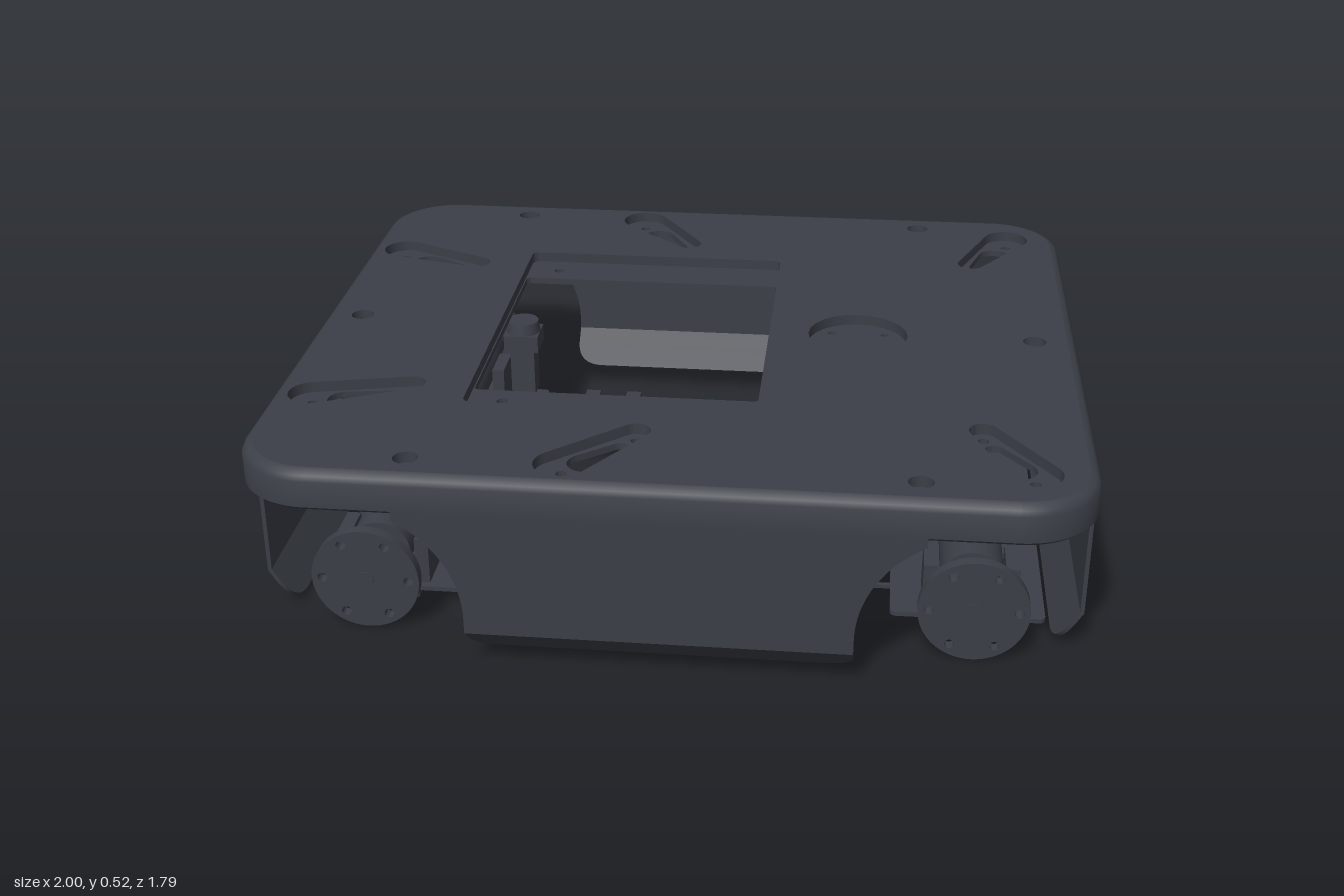
import * as THREE from 'three';
import { toCreasedNormals } from 'three/addons/utils/BufferGeometryUtils.js';

const dark = new THREE.MeshStandardMaterial({ color: 0x3b3f47, side: THREE.DoubleSide });

function add(parent, name, geo, x = 0, y = 0, z = 0) {
  const m = new THREE.Mesh(geo, dark);
  m.name = name;
  m.position.set(x, y, z);
  parent.add(m);
  return m;
}
const box = (w, h, d) => new THREE.BoxGeometry(w, h, d);
const cylZ = (r, len, n = 40) => new THREE.CylinderGeometry(r, r, len, n).rotateX(Math.PI / 2);

// Outlines are drawn in plan as (x, -z)
function roundRect(w, d, r, cx = 0, cy = 0) {
  const s = new THREE.Shape(), q = Math.PI / 2;
  [[1, 1], [-1, 1], [-1, -1], [1, -1]].forEach(([a, b], i) =>
    s.absarc(cx + a * (w - r), cy + b * (d - r), r, i * q, (i + 1) * q));
  return s.closePath();
}
const circle = (x, y, r) => new THREE.Shape().absarc(x, y, r, 0, Math.PI * 2);

// Hull of a large and a small circle
function teardrop([x1, y1, r1], [x2, y2, r2]) {
  const a = Math.atan2(y2 - y1, x2 - x1), b = Math.acos((r1 - r2) / Math.hypot(x2 - x1, y2 - y1));
  return new THREE.Shape().absarc(x1, y1, r1, a + b, a - b + Math.PI * 2)
    .absarc(x2, y2, r2, a - b, a + b).closePath();
}
function slab(shape, holes, y0, y1) {
  shape.holes.push(...holes);
  const g = new THREE.ExtrudeGeometry(shape, { depth: y1 - y0, bevelEnabled: false, curveSegments: 12 });
  return toCreasedNormals(g.rotateX(-Math.PI / 2).translate(0, y0, 0), 0.6);
}

// Rim: a section of [inset, y] points carried around the deck outline
function rimGeometry(section) {
  const rings = section.map(([inset]) => roundRect(1 - inset, 0.893 - inset, 0.19 - inset).getPoints(12));
  const n = rings[0].length, pos = [], idx = [];
  rings.forEach((ring, j) => ring.forEach(p => pos.push(p.x, section[j][1], -p.y)));
  for (let j = 0; j < rings.length - 1; j++) for (let i = 0; i < n; i++) {
    const k = (i + 1) % n, a = j * n + i, b = j * n + k, c = b + n, d = a + n;
    idx.push(a, b, c, a, c, d);
  }
  const g = new THREE.BufferGeometry();
  g.setAttribute('position', new THREE.Float32BufferAttribute(pos, 3));
  g.setIndex(idx);
  g.computeVertexNormals();
  return toCreasedNormals(g, 0.6);
}

function buildDeck() {
  const deck = new THREE.Group();
  deck.name = 'deck';
  // slots: large end, small end (recess), repeated front and back
  const slots = [
    [[-0.23, 0.79, 0.065], [-0.08, 0.61, 0.036]],
    [[0.85, 0.735, 0.062], [0.74, 0.53, 0.036]],
    [[-0.9, 0.485, 0.06], [-0.67, 0.405, 0.036]],
  ];
  const upper = [roundRect(0.36, 0.497, 0.02, -0.163, 0), circle(0.43, 0, 0.13)];
  const lower = [roundRect(0.357, 0.37, 0.012, -0.163, 0)];
  for (const s of [1, -1]) {
    for (const [a, b] of slots) {
      const at = (t, r) => [a[0] + (b[0] - a[0]) * t, s * (a[1] + (b[1] - a[1]) * t), r];
      upper.push(teardrop(at(0, a[2]), at(1, b[2])));
      lower.push(teardrop(at(0.32, 0.044), at(0.78, 0.024)), circle(at(1, 0)[0], at(1, 0)[1], 0.013),
        circle(at(0, 0)[0], at(0, 0)[1], 0.013));
    }
    lower.push(circle(-0.437, s * 0.43, 0.014));
    for (const x of [-0.07, 0.07]) lower.push(circle(0.43 + x, s * 0.065, 0.01));
  }
  const screws = [[-0.59, 0.8], [0.59, 0.8], [-0.59, -0.8], [0.59, -0.8], [-0.9, 0], [0.89, 0]];
  for (const [x, y] of screws) {
    upper.push(circle(x, y, 0.03));
    lower.push(circle(x, y, 0.013));
  }
  add(deck, 'deckTopLayer', slab(roundRect(0.974, 0.867, 0.164), upper, 0.492, 0.52));
  add(deck, 'deckLowerLayer', slab(roundRect(0.974, 0.867, 0.164), lower, 0.475, 0.492));
  add(deck, 'deckRim', rimGeometry([[0.026, 0.477], [0.026, 0.42], [0.008, 0.42], [0, 0.428],
    [0, 0.494], [0.006, 0.507], [0.014, 0.515], [0.026, 0.52]]));
  return deck;
}

// Sheet skirt facing +z: upright panel with a folded-in lower lip
function buildSkirt(name, upright, halfWidth, fold, inward, drop, corner) {
  const g = new THREE.Group();
  g.name = name;
  const opt = { depth: 0.01, bevelEnabled: false, curveSegments: 20 };
  add(g, 'skirtPanel', toCreasedNormals(new THREE.ExtrudeGeometry(upright, opt), 0.5), 0, 0, -0.01);
  const len = Math.hypot(inward, drop), w = halfWidth, lip = new THREE.Shape();
  lip.moveTo(w, 0).lineTo(-w, 0).lineTo(-w, corner - len);
  lip.quadraticCurveTo(-w, -len, corner - w, -len).lineTo(w - corner, -len);
  lip.quadraticCurveTo(w, -len, w, corner - len).closePath();
  const geo = new THREE.ExtrudeGeometry(lip, opt).translate(0, 0, -0.01).rotateX(Math.atan2(inward, drop));
  add(g, 'skirtLip', toCreasedNormals(geo, 0.5), 0, fold, 0);
  return g;
}

function buildWheel() {
  const g = new THREE.Group();
  g.name = 'wheelUnit';
  const disc = circle(0, 0, 0.133);
  for (let i = 0; i < 6; i++) {
    const a = i * Math.PI / 3;
    disc.holes.push(circle(0.107 * Math.cos(a), 0.107 * Math.sin(a), 0.012));
  }
  const geo = new THREE.ExtrudeGeometry(disc, { depth: 0.029, bevelEnabled: false, curveSegments: 32 });
  add(g, 'wheelDisc', toCreasedNormals(geo, 0.5), 0, 0.136, 0.693);
  add(g, 'axleCap', cylZ(0.022, 0.006, 20), 0, 0.136, 0.722);
  add(g, 'hub', cylZ(0.07, 0.093), 0, 0.136, 0.647);
  add(g, 'shaft', cylZ(0.03, 0.04, 20), 0, 0.136, 0.59);
  add(g, 'motor', cylZ(0.078, 0.3), 0, 0.136, 0.43);
  // foot and cheeks holding the motor
  add(g, 'mountFoot', box(0.185, 0.055, 0.2), 0, 0.0325, 0.48);
  for (const s of [-1, 1]) add(g, 'mountCheek', box(0.035, 0.13, 0.12), s * 0.1, 0.095, 0.5);
  return g;
}

// Small hinge bracket with two arms and three screws
function buildBracket() {
  const g = new THREE.Group();
  g.name = 'bracket';
  add(g, 'bracketBody', box(0.25, 0.06, 0.1), 0, 0, 0.24);
  for (const x of [-0.1, 0, 0.1]) {
    add(g, 'bracketLug', box(0.05, 0.05, 0.045), x, 0, 0.308);
    add(g, 'bracketScrew', new THREE.CylinderGeometry(0.011, 0.011, 0.012, 12), x, 0.03, 0.31);
  }
  for (const x of [-0.06, 0.06]) add(g, 'bracketArm', box(0.042, 0.03, 0.15), x, 0, 0.355);
  return g;
}

export function createModel() {
  const model = new THREE.Group();
  model.name = 'mobileBase';
  model.add(buildDeck());

  for (const s of [1, -1]) {
    // front and back skirts with wheel arches
    const arch = new THREE.Shape();
    arch.moveTo(-0.61, 0.43).lineTo(0.61, 0.43).lineTo(0.61, 0.403);
    arch.absarc(0.74, 0.15, 0.285, Math.PI - 1.097, Math.PI, false);
    arch.lineTo(0.455, 0.11).lineTo(-0.455, 0.11).lineTo(-0.455, 0.15);
    arch.absarc(-0.74, 0.15, 0.285, 0, 1.097, false).closePath();
    const end = buildSkirt(s > 0 ? 'frontSkirt' : 'backSkirt', arch, 0.455, 0.11, 0.095, 0.09, 0.08);
    end.position.z = s * 0.893;
    end.rotation.y = s > 0 ? 0 : Math.PI;

    // side skirts
    const panel = new THREE.Shape();
    panel.moveTo(-0.66, 0.11).lineTo(0.66, 0.11).lineTo(0.66, 0.43).lineTo(-0.66, 0.43).closePath();
    if (s < 0) panel.holes.push(circle(0, 0.29, 0.045), circle(0.28, 0.29, 0.025));
    const side = buildSkirt(s > 0 ? 'leftSkirt' : 'rightSkirt', panel, 0.66, 0.11, 0.06, 0.1, 0.09);
    side.position.x = s;
    side.rotation.y = s * Math.PI / 2;
    model.add(end, side);

    // floor plates under the drive units and the thin rods joining them
    const holes = [-0.35, 0, 0.35].map(y => circle(s * 0.7, y, 0.018));
    if (s > 0) holes.push(circle(0.885, 0, 0.022));
    const plate = roundRect(0.19, 0.58, 0.015, s > 0 ? 0.73 : -0.697, 0);
    add(model, 'floorPlate', slab(plate, holes, 0.024, 0.036));
    add(model, 'tieRod', box(1.05, 0.01, 0.012), 0.025, 0.03, s * 0.45);

    for (const x of [-0.735, 0.735]) {
      const wheel = buildWheel();
      wheel.position.x = x;
      wheel.rotation.y = s > 0 ? 0 : Math.PI;
      model.add(wheel);
    }

    const bracket = buildBracket();
    bracket.position.set(-0.285, 0.1, 0);
    bracket.rotation.y = s > 0 ? 0 : Math.PI;
    model.add(bracket);

    // stacked clamps between the left drive units
    for (const y of [0.075, 0.185]) {
      add(model, 'clampPlate', box(0.13, 0.028, 0.14), 0.49, y, s * 0.15);
      add(model, 'clampBolt', new THREE.CylinderGeometry(0.015, 0.015, 0.05, 12), 0.5, y + 0.008, s * 0.15);
    }
    add(model, 'clampWeb', box(0.03, 0.165, 0.12), 0.44, 0.117, s * 0.15);
  }

  // upright actuator
  add(model, 'actuatorBody', box(0.07, 0.14, 0.07), -0.55, 0.18, -0.43);
  add(model, 'actuatorHead', box(0.1, 0.05, 0.1), -0.55, 0.275, -0.43);
  add(model, 'actuatorCap', new THREE.CylinderGeometry(0.045, 0.05, 0.035, 24), -0.55, 0.316, -0.43);
  return model;
}
